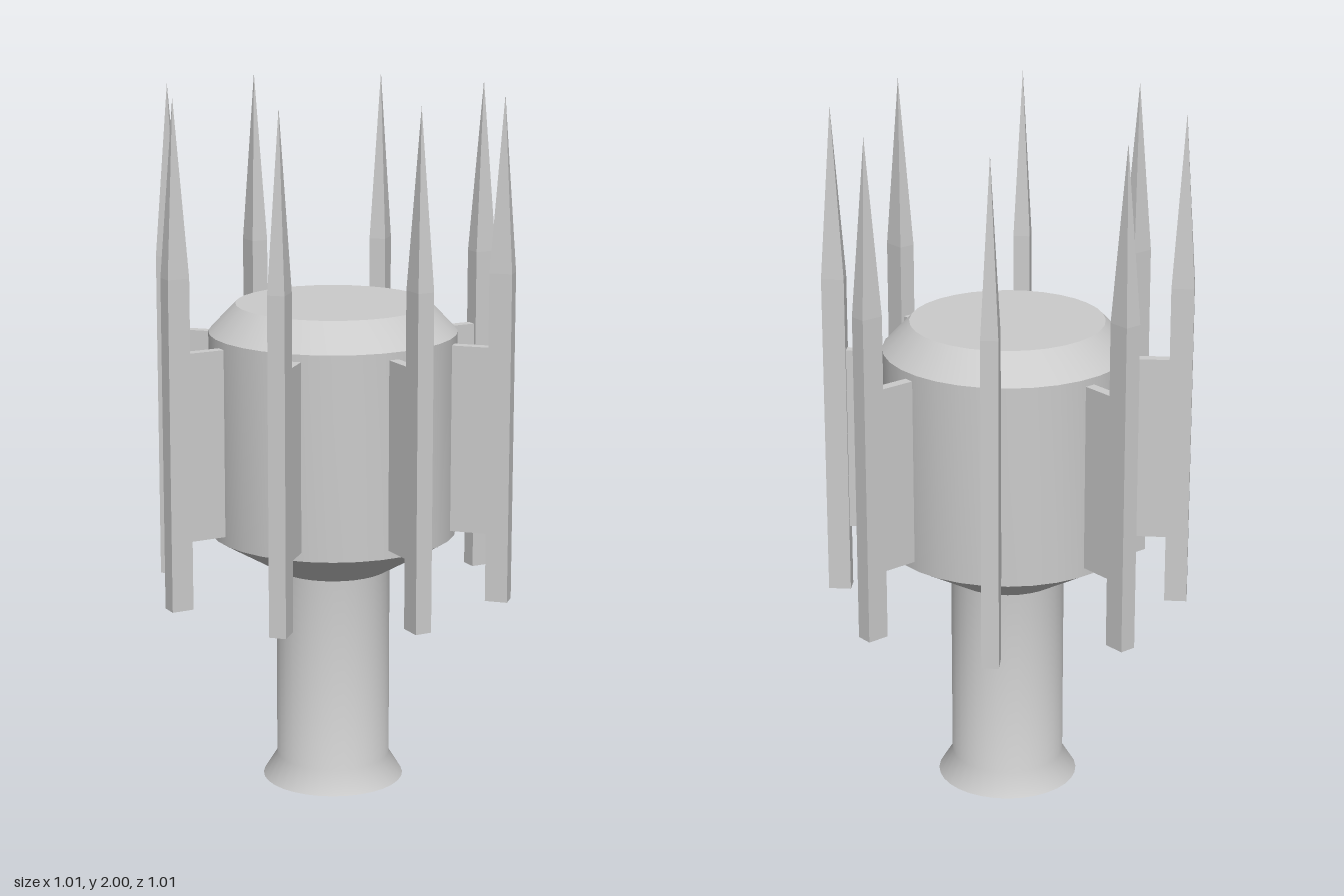
import * as THREE from 'three';
import { toCreasedNormals } from 'three/addons/utils/BufferGeometryUtils.js';

const material = new THREE.MeshStandardMaterial({ color: 0xcccccc });
const openMaterial = new THREE.MeshStandardMaterial({ color: 0xcccccc, side: THREE.DoubleSide });

function addMesh(parent, name, geometry, mat = material) {
  const mesh = new THREE.Mesh(geometry, mat);
  mesh.name = name;
  parent.add(mesh);
  return mesh;
}

// Turned part from [radius, height] pairs, smooth around and sharp at hard corners
function turned(profile) {
  const points = profile.map(([r, y]) => new THREE.Vector2(r, y));
  return toCreasedNormals(new THREE.LatheGeometry(points, 32), 0.6);
}

export function createModel() {
  const model = new THREE.Group();
  model.name = 'spikedHead';

  // Hollow stem with flared foot, open at the bottom
  addMesh(model, 'stem', turned([[0.203, 0], [0.163, 0.065], [0.163, 0.63]]), openMaterial);

  // Drum with conical underside and chamfered top
  addMesh(model, 'drum', turned([
    [0.163, 0.63], [0.352, 0.74], [0.352, 1.32], [0.275, 1.4], [0, 1.4],
  ]), openMaterial);

  // Spike measurements: radial depth, tangential width, heights, distance from axis
  const depth = 0.064, width = 0.048, bottom = 0.57, shoulder = 1.51, tip = 2;
  const spikeRadius = 0.488;

  const shaft = new THREE.BoxGeometry(depth, shoulder - bottom, width);
  shaft.translate(spikeRadius, (bottom + shoulder) / 2, 0);

  // Four-sided point, turned so its base matches the shaft
  const point = new THREE.ConeGeometry(Math.SQRT1_2, tip - shoulder, 4, 1, true).toNonIndexed();
  point.rotateY(Math.PI / 4);
  point.scale(depth, 1, width);
  point.translate(spikeRadius, (tip + shoulder) / 2, 0);
  point.computeVertexNormals();

  // Fin joining the spike to the drum
  const finInner = 0.33, finOuter = 0.465;
  const fin = new THREE.BoxGeometry(finOuter - finInner, 0.535, 0.03);
  fin.translate((finInner + finOuter) / 2, 1.032, 0);

  // Eight spikes around the drum
  for (let i = 0; i < 8; i++) {
    const arm = new THREE.Group();
    arm.name = `spikeArm${i + 1}`;
    arm.rotation.y = -(THREE.MathUtils.degToRad(16.8) + (i * Math.PI) / 4);
    addMesh(arm, 'spikeShaft', shaft);
    addMesh(arm, 'spikePoint', point);
    addMesh(arm, 'fin', fin);
    model.add(arm);
  }
  return model;
}
